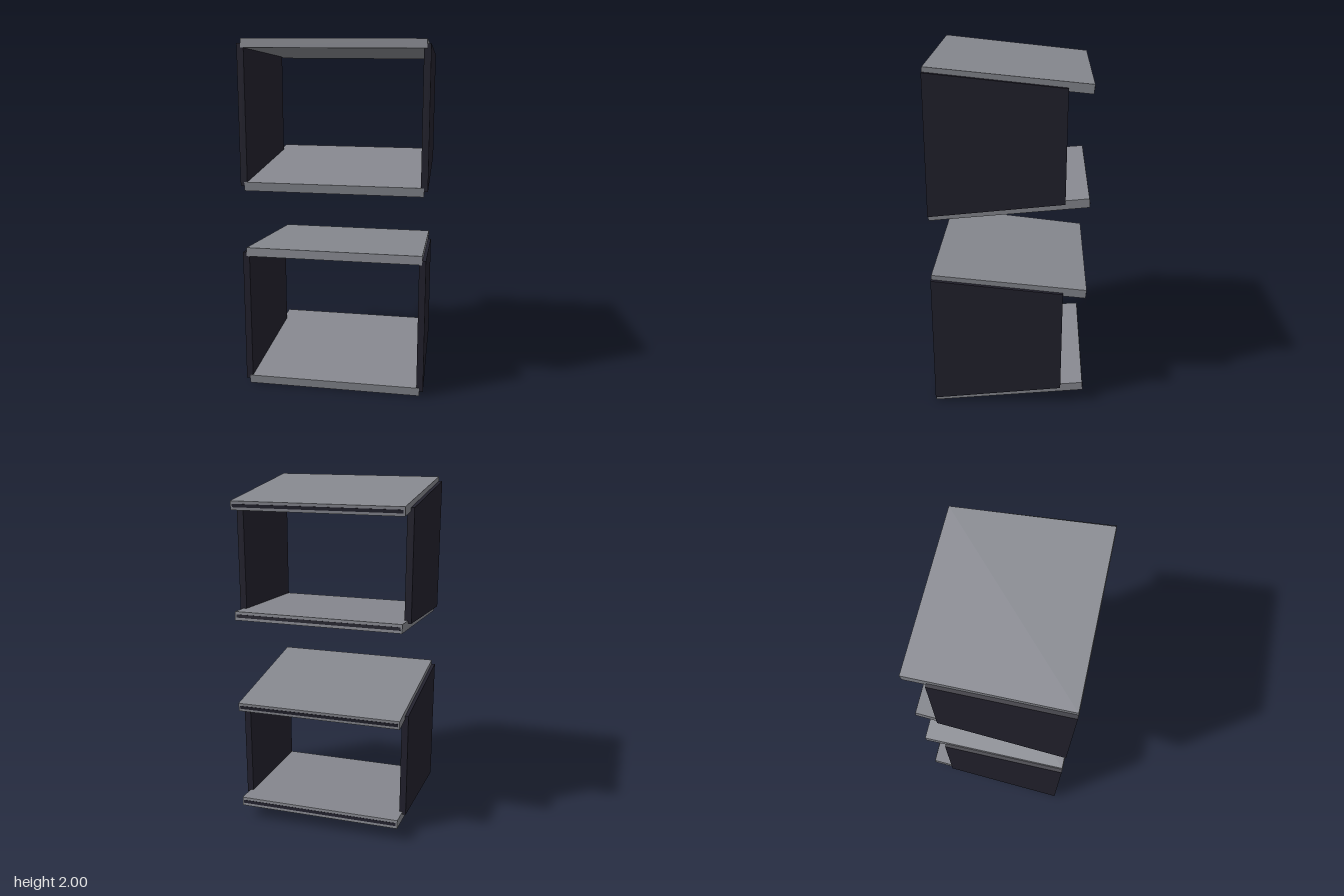
import * as THREE from 'three';

const TILT = 0.0975;     // slope of the boards
const BOARD = 0.05;      // board thickness
const DEPTH = 0.874;     // board length front to back
const UNIT_STEP = 1.165; // height from one unit to the next

const grey = new THREE.MeshStandardMaterial({ color: 0x86888f });
grey.name = 'grey board';
const dark = new THREE.MeshStandardMaterial({ color: 0x22212d });
dark.name = 'dark panel';

// Box whose vertices are moved by a rule; t runs from 0 (back) to 1 (front)
function shapedBox(w, h, d, rule) {
  const geo = new THREE.BoxGeometry(w, h, d);
  const p = geo.attributes.position;
  const v = new THREE.Vector3();
  for (let i = 0; i < p.count; i++) {
    v.fromBufferAttribute(p, i);
    rule(v, v.z / d + 0.5);
    p.setXYZ(i, v.x, v.y, v.z);
  }
  geo.computeVertexNormals();
  return geo;
}

function addMesh(parent, name, geo, mat) {
  const mesh = new THREE.Mesh(geo, mat);
  mesh.name = name;
  parent.add(mesh);
  return mesh;
}

// Sloping board, narrower at the back, with a dark strip along its back edge
function makeBoard(name, y, tilt) {
  const board = new THREE.Group();
  board.name = name;
  const slab = shapedBox(1, BOARD, DEPTH, (v, t) => { v.x *= 0.96 + 0.04 * t; });
  addMesh(board, name + 'Slab', slab, grey);
  const strip = addMesh(board, name + 'BackStrip', new THREE.BoxGeometry(0.94, 0.018, 0.004), dark);
  strip.position.z = -DEPTH / 2;
  board.position.y = y;
  board.rotation.x = tilt;
  return board;
}

// Side panel: shorter and closer to the middle at the back
function makePanel(name, side) {
  const geo = shapedBox(0.038, 2, 0.739, (v, t) => {
    v.y *= 0.312 + 0.077 * t;
    v.x += side * (0.483 + 0.019 * t);
  });
  const panel = addMesh(new THREE.Group(), name, geo, dark);
  panel.position.set(0, 0.419, 0.065);
  return panel;
}

export function createModel() {
  const model = new THREE.Group();
  model.name = 'stackedOpenBoxes';
  ['lowerUnit', 'upperUnit'].forEach((name, i) => {
    const unit = new THREE.Group();
    unit.name = name;
    unit.add(
      makeBoard('bottomBoard', 0.068, TILT),
      makeBoard('topBoard', 0.767, -TILT),
      makePanel('leftPanel', 1),
      makePanel('rightPanel', -1)
    );
    unit.position.y = i * UNIT_STEP;
    model.add(unit);
  });
  return model;
}
